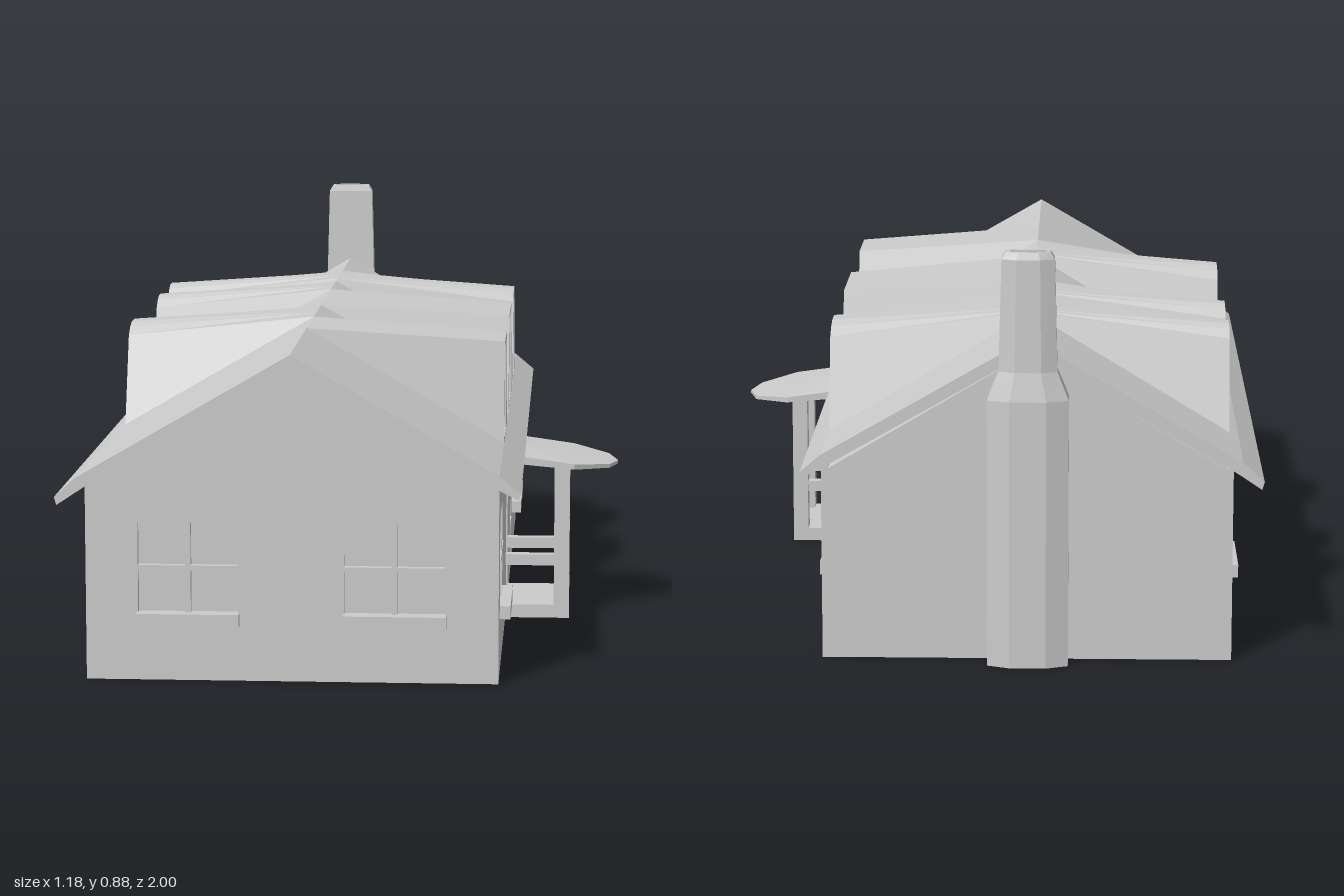
import * as THREE from 'three';

const mat = new THREE.MeshStandardMaterial({ color: 0xcccccc, flatShading: true, side: THREE.DoubleSide });
const T = 0.014; // wall thickness in front of the solid core
const LEFT = 0.335, RIGHT = -0.53, RIDGE = -0.1, FRONT = 0.975, BACK = -0.925, RIDGE_Y = 0.69;

function add(parent, name, geo, x = 0, y = 0, z = 0) {
  const m = new THREE.Mesh(geo, mat);
  m.name = name;
  m.position.set(x, y, z);
  parent.add(m);
  return m;
}

function box(parent, name, x0, x1, y0, y1, z0, z1) {
  return add(parent, name, new THREE.BoxGeometry(x1 - x0, y1 - y0, z1 - z0),
    (x0 + x1) / 2, (y0 + y1) / 2, (z0 + z1) / 2);
}

const shapeOf = pts => new THREE.Shape(pts.map(p => new THREE.Vector2(p[0], p[1])));
const extrude = (shape, depth) => new THREE.ExtrudeGeometry(shape, { depth, bevelEnabled: false });
const rect = (a, b, y0, y1) => [[a, y0], [b, y0], [b, y1], [a, y1]];

function cutHole(shape, a, b, y0, y1) {
  shape.holes.push(new THREE.Path(rect(a, b, y0, y1).reverse().map(p => new THREE.Vector2(p[0], p[1]))));
}

// Surface of quads between consecutive rings of points
function loft(rings, closed) {
  const pos = [];
  for (let r = 0; r + 1 < rings.length; r++) {
    const A = rings[r], B = rings[r + 1], n = A.length;
    for (let i = 0; i < (closed ? n : n - 1); i++) {
      const j = (i + 1) % n;
      pos.push(...A[i], ...A[j], ...B[j], ...A[i], ...B[j], ...B[i]);
    }
  }
  const g = new THREE.BufferGeometry();
  g.setAttribute('position', new THREE.Float32BufferAttribute(pos, 3));
  g.computeVertexNormals();
  return g;
}

// Wall in its own plane (u along, y up, +z outward) with recessed windows
function wall(parent, name, outline, windows) {
  const g = new THREE.Group();
  g.name = name;
  parent.add(g);
  const shape = shapeOf(outline);
  for (const w of windows) {
    const { u, width, y0 = 0.145, y1 = 0.335, bars = [0.24], mullion = true, sill = true } = w;
    const a = u - width / 2, b = u + width / 2;
    cutHole(shape, a, b, y0, y1);
    for (const y of bars) box(g, 'glazingBar', a, b, y - 0.005, y + 0.005, -T, 0.002);
    if (mullion) box(g, 'mullion', u - 0.006, u + 0.006, y0, y1, -T, 0.001);
    if (sill) box(g, 'windowSill', a - 0.003, b + 0.003, 0.117, 0.145, -0.005, 0.023);
  }
  add(g, 'wallPanel', extrude(shape, T), 0, 0, -T);
  return g;
}

// Dormer on a side elevation: splayed cheeks running back to the main ridge
function dormer(parent, side, z0, z1, i0, i1, arched) {
  const g = new THREE.Group();
  g.name = 'dormer';
  g.rotation.y = side * Math.PI / 2;
  g.position.x = side > 0 ? LEFT : RIGHT;
  parent.add(g);
  const w = i1 - i0;
  const top = arched
    ? [[i0, 0.635], [i0 + w * 0.17, 0.652], [i0 + w * 0.35, 0.66], [i1 - w * 0.35, 0.66], [i1 - w * 0.17, 0.652], [i1, 0.635]]
    : [[i0, 0.66], [i1, 0.66]];
  const profile = [[z0, 0.44], ...top, [z1, 0.44]].map(([z, y]) => [-side * z, y]);
  const depth = Math.abs(g.position.x - RIDGE);
  add(g, 'dormerRoof', loft([
    profile.map(([u, y]) => [u, y, 0]),
    profile.map(([u]) => [u, RIDGE_Y, -depth]),
  ], false));
  const face = shapeOf(profile), us = [-side * i0, -side * i1].sort((a, b) => a - b);
  cutHole(face, us[0] + 0.012, us[1] - 0.012, 0.445, arched ? 0.63 : 0.65);
  add(g, 'dormerFace', extrude(face, 0.015), 0, 0, -0.015);
  box(g, 'dormerWindow', us[0], us[1], 0.44, arched ? 0.635 : 0.655, -0.022, -0.014);
}

export function createModel() {
  const house = new THREE.Group();
  house.name = 'house';

  // Solid core behind the wall panels
  const gable = d => [[RIGHT + d, 0], [LEFT - d, 0], [LEFT - d, 0.41], [RIDGE, 0.66], [RIGHT + d, 0.41]];
  add(house, 'core', extrude(shapeOf(gable(T)), FRONT - T - BACK), 0, 0, BACK);

  // Walls with windows
  wall(house, 'frontWall', gable(0), [{ u: -0.315, width: 0.21 }, { u: 0.118, width: 0.21 }]).position.z = FRONT;

  const leftWall = wall(house, 'leftWall', rect(-FRONT + T, -BACK, 0, 0.415), [
    { u: -0.76, width: 0.22 },
    { u: 0.445, width: 0.12 },
    { u: 0.627, width: 0.12 },
    { u: 0.237, width: 0.055, y0: 0.035, y1: 0.38, bars: [0.125, 0.205, 0.285], mullion: false, sill: false },
    { u: -0.178, width: 0.17, y0: 0.03, y1: 0.335, bars: [], mullion: false, sill: false },
  ]);
  leftWall.rotation.y = Math.PI / 2;
  leftWall.position.x = LEFT;

  const rightWall = wall(house, 'rightWall', rect(BACK, FRONT - T, 0, 0.415),
    [-0.585, -0.3, 0.175].map(u => ({ u, width: 0.2 })));
  rightWall.rotation.y = -Math.PI / 2;
  rightWall.position.x = RIGHT;

  // Main roof with kicked eaves
  add(house, 'roof', extrude(shapeOf([
    [RIDGE, RIDGE_Y], [RIGHT - 0.02, 0.428], [-0.595, 0.387], [-0.59, 0.37], [RIGHT, 0.41],
    [RIDGE, 0.66], [LEFT, 0.41], [0.375, 0.39], [0.38, 0.402], [LEFT, 0.44],
  ]), FRONT - BACK), 0, 0, BACK);

  // Dormers: side, outer z range, inner (top) z range, arched head
  dormer(house, 1, 0.25, 0.53, 0.325, 0.5, false);
  dormer(house, 1, -0.27, 0.1, -0.212, 0.03, false);
  dormer(house, 1, -0.69, -0.39, -0.63, -0.45, true);
  dormer(house, -1, 0.03, 0.325, 0.09, 0.25, true);
  dormer(house, -1, -0.455, -0.215, -0.4, -0.27, true);
  dormer(house, -1, -0.69, -0.455, -0.63, -0.51, true);

  // Chimney: faceted stack with shoulders and a hollow top
  const ring = (y, w, zi, zs, zo) => [
    [RIDGE + w, y, zi], [RIDGE + w, y, zs], [RIDGE + w * 0.45, y, zo],
    [RIDGE - w * 0.45, y, zo], [RIDGE - w, y, zs], [RIDGE - w, y, zi],
  ];
  add(house, 'chimney', loft([
    ring(0, 0, -0.96, -0.96, -0.96),
    ring(0, 0.085, -0.92, -0.98, -1),
    ring(0.57, 0.085, -0.92, -0.98, -1),
    ring(0.63, 0.061, -0.932, -0.975, -0.99),
    ring(0.865, 0.055, -0.935, -0.972, -0.985),
    ring(0.88, 0.046, -0.938, -0.97, -0.98),
    ring(0.88, 0.038, -0.943, -0.967, -0.973),
    ring(0.84, 0.038, -0.943, -0.967, -0.973),
    ring(0.84, 0, -0.955, -0.955, -0.955),
  ], true));

  // Porch: step, posts, rails
  const porch = new THREE.Group();
  porch.name = 'porch';
  house.add(porch);
  box(porch, 'porchFloor', LEFT, 0.48, 0, 0.03, 0.06, 0.305);
  for (const z of [0.06, 0.267]) {
    box(porch, 'porchPost', 0.445, 0.48, 0.03, 0.35, z, z + 0.038);
    box(porch, 'porchRail', LEFT, 0.445, 0.12, 0.145, z + 0.006, z + 0.032);
  }

  // Rounded canopy, thickest at the wall
  const plan = [[LEFT, 0.025], [0.49, 0.025], [0.57, 0.095], [0.59, 0.175], [0.57, 0.25], [0.49, 0.325], [LEFT, 0.325]];
  const level = (y, fall) => plan.map(([x, z]) => [x, y - (x - LEFT) * fall, z]);
  const hub = y => plan.map(() => [LEFT, y, 0.175]);
  add(porch, 'canopy', loft([hub(0.36), level(0.36, 0.09), level(0.38, 0.14), hub(0.388)], true));

  return house;
}
